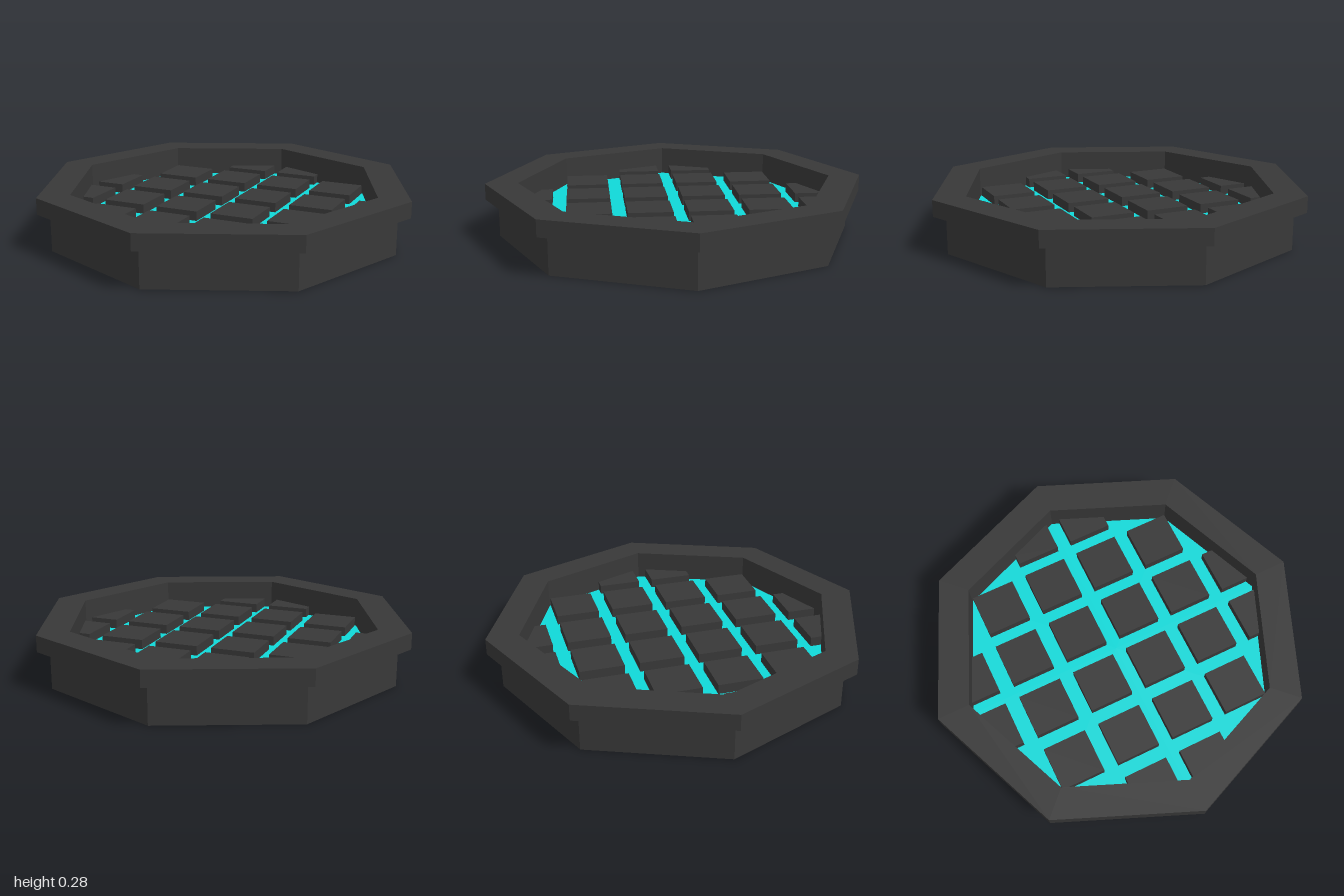
import * as THREE from 'three';

const INNER = 0.83;      // corner radius of the opening
const PLATE_Y = 0.13;    // height of the glowing plate
const TILE_BOTTOM = 0.075, TILE_TOP = 0.18;

// Keep the part of a convex polygon that lies inside the octagonal opening
function clipToOctagon(points) {
  const apothem = INNER * Math.cos(Math.PI / 8);
  for (let k = 0; k < 8; k++) {
    const a = Math.PI / 8 + k * Math.PI / 4;
    const dist = (p) => p[0] * Math.cos(a) + p[1] * Math.sin(a) - apothem;
    const out = [];
    points.forEach((p, i) => {
      const q = points[(i + 1) % points.length];
      const dp = dist(p), dq = dist(q);
      if (dp <= 0) out.push(p);
      if (dp * dq < 0) {
        const t = dp / (dp - dq);
        out.push([p[0] + (q[0] - p[0]) * t, p[1] + (q[1] - p[1]) * t]);
      }
    });
    points = out;
  }
  return points;
}

// Hollow tile: side walls and a lid, open underneath
function tileGeometry(points) {
  const v = [];
  points.forEach(([x, z], i) => {
    const [x2, z2] = points[(i + 1) % points.length];
    v.push(x, TILE_BOTTOM, z, x2, TILE_BOTTOM, z2, x2, TILE_TOP, z2);
    v.push(x, TILE_BOTTOM, z, x2, TILE_TOP, z2, x, TILE_TOP, z);
    if (i > 0 && i < points.length - 1) {
      v.push(points[0][0], TILE_TOP, points[0][1], x, TILE_TOP, z, x2, TILE_TOP, z2);
    }
  });
  const geometry = new THREE.BufferGeometry();
  geometry.setAttribute('position', new THREE.Float32BufferAttribute(v, 3));
  geometry.computeVertexNormals();
  return geometry;
}

export function createModel() {
  const model = new THREE.Group();
  model.name = 'octagonalPad';

  const dark = new THREE.MeshStandardMaterial({ color: 0x383838, flatShading: true, side: THREE.DoubleSide });
  dark.name = 'charcoal';
  const glow = new THREE.MeshStandardMaterial({ color: 0x10d8d8, flatShading: true, side: THREE.DoubleSide });
  glow.name = 'cyan';

  const add = (parent, name, geometry, material) => {
    const mesh = new THREE.Mesh(geometry, material);
    mesh.name = name;
    parent.add(mesh);
    return mesh;
  };

  // Eight-sided shell: base wall, overhanging rim and inner wall
  const profile = [
    [0.935, 0], [0.935, 0.2], [1, 0.2], [1, 0.285], [INNER, 0.285], [INNER, PLATE_Y],
  ].map(([r, y]) => new THREE.Vector2(r, y));
  const shell = new THREE.LatheGeometry(profile, 8).toNonIndexed();
  shell.computeVertexNormals();
  add(model, 'frame', shell, dark);

  // Plate across the opening
  const plate = new THREE.CircleGeometry(INNER, 8);
  plate.rotateX(-Math.PI / 2);
  add(model, 'plate', plate, glow).position.y = PLATE_Y;

  // Grid of square tiles, trimmed where they meet the frame
  const tiles = new THREE.Group();
  tiles.name = 'tiles';
  model.add(tiles);
  const pitch = 0.31, half = 0.116;
  for (let i = -2.5; i <= 2.5; i++) {
    for (let j = -2.5; j <= 2.5; j++) {
      const far = Math.max(Math.abs(i), Math.abs(j)), near = Math.min(Math.abs(i), Math.abs(j));
      if (far > 2 && near > 1) continue;
      const x = i * pitch, z = j * pitch;
      const square = [
        [x - half, z - half], [x - half, z + half], [x + half, z + half], [x + half, z - half],
      ];
      add(tiles, 'tile', tileGeometry(clipToOctagon(square)), dark);
    }
  }

  return model;
}
